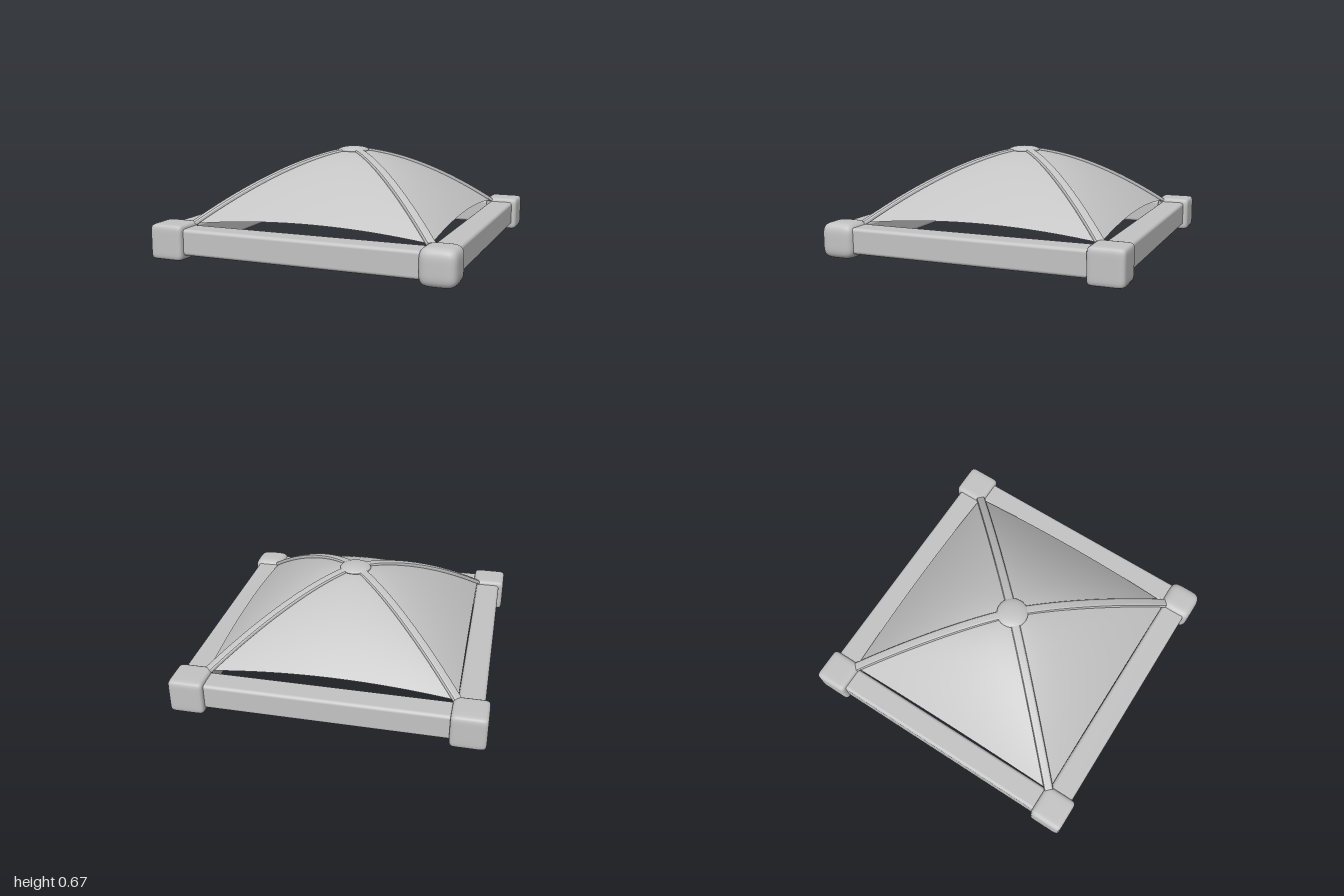
import * as THREE from 'three';
import { mergeVertices } from 'three/addons/utils/BufferGeometryUtils.js';
import { RoundedBoxGeometry } from 'three/addons/geometries/RoundedBoxGeometry.js';

const EDGE = 0.8; // half width of the canopy

// Height of the canopy along its diagonal, d measured along x or z
const ribHeight = (d) => 0.645 - 0.435 * Math.pow(d / EDGE, 1.6);

// Box with softly swollen faces; a lower power is rounder
function cornerGeometry(half, power) {
  const geo = new THREE.BoxGeometry(2, 2, 2, 14, 14, 14);
  const pos = geo.attributes.position;
  const p = new THREE.Vector3();
  for (let i = 0; i < pos.count; i++) {
    p.fromBufferAttribute(pos, i);
    const sum = Math.abs(p.x) ** power + Math.abs(p.y) ** power + Math.abs(p.z) ** power;
    p.multiplyScalar(half / Math.pow(sum, 1 / power));
    pos.setXYZ(i, p.x, p.y, p.z);
  }
  geo.deleteAttribute('uv');
  geo.deleteAttribute('normal');
  const welded = mergeVertices(geo);
  welded.computeVertexNormals();
  return welded;
}

// One triangular cloth panel, from the apex out to the +z edge
function panelGeometry() {
  const geo = new THREE.PlaneGeometry(2, 1, 28, 28);
  const pos = geo.attributes.position;
  for (let i = 0; i < pos.count; i++) {
    const s = pos.getX(i);
    const d = EDGE * (0.5 - pos.getY(i));
    const bulge = 0.055 * Math.pow(d / EDGE, 0.8) * (1 - s * s);
    pos.setXYZ(i, s * d, ribHeight(d) + bulge, d);
  }
  geo.computeVertexNormals();
  return geo;
}

// Curved rib with chamfered sides, running from the apex along +x
function ribGeometry() {
  const steps = 24, upper = [], lower = [];
  for (let i = 0; i <= steps; i++) {
    const d = (EDGE * i) / steps;
    const r = d * Math.SQRT2;
    const y = ribHeight(d);
    upper.push(new THREE.Vector2(r, y + 0.007));
    lower.unshift(new THREE.Vector2(r, y - 0.007));
  }
  const geo = new THREE.ExtrudeGeometry(new THREE.Shape([...upper, ...lower]), {
    depth: 0.03, bevelEnabled: true, bevelThickness: 0.016, bevelSize: 0.01, bevelSegments: 2,
  });
  geo.translate(0, 0, -0.015);
  return geo;
}

export function createModel() {
  const model = new THREE.Group();
  const grey = new THREE.MeshStandardMaterial({ color: 0xc4c4c4, side: THREE.DoubleSide });
  grey.name = 'grey';

  const add = (name, geo, parent = model) => {
    const mesh = new THREE.Mesh(geo, grey);
    mesh.name = name;
    parent.add(mesh);
    return mesh;
  };

  const beam = new RoundedBoxGeometry(1.7, 0.17, 0.168, 4, 0.022);
  const panel = panelGeometry();
  const rib = ribGeometry();

  // Four identical sides: beam, cloth panel and rib
  for (let i = 0; i < 4; i++) {
    const side = new THREE.Group();
    side.name = 'side' + (i + 1);
    side.rotation.y = (i * Math.PI) / 2;
    add('beam', beam, side).position.set(0, 0.12, 0.882);
    add('canopyPanel', panel, side);
    add('rib', rib, side).rotation.y = Math.PI / 4;
    model.add(side);
  }

  // Corner blocks, the front left one rounder than the rest
  const squareCorner = cornerGeometry(0.114, 10);
  const roundCorner = cornerGeometry(0.116, 4.5);
  for (const x of [-1, 1]) {
    for (const z of [-1, 1]) {
      const geo = x > 0 && z > 0 ? roundCorner : squareCorner;
      add('cornerBlock', geo).position.set(x * 0.885, 0.116, z * 0.885);
    }
  }

  // Flattened hub where the ribs meet
  const hub = add('hub', new THREE.SphereGeometry(0.105, 32, 16));
  hub.scale.y = 0.25;
  hub.position.y = 0.645;

  return model;
}
